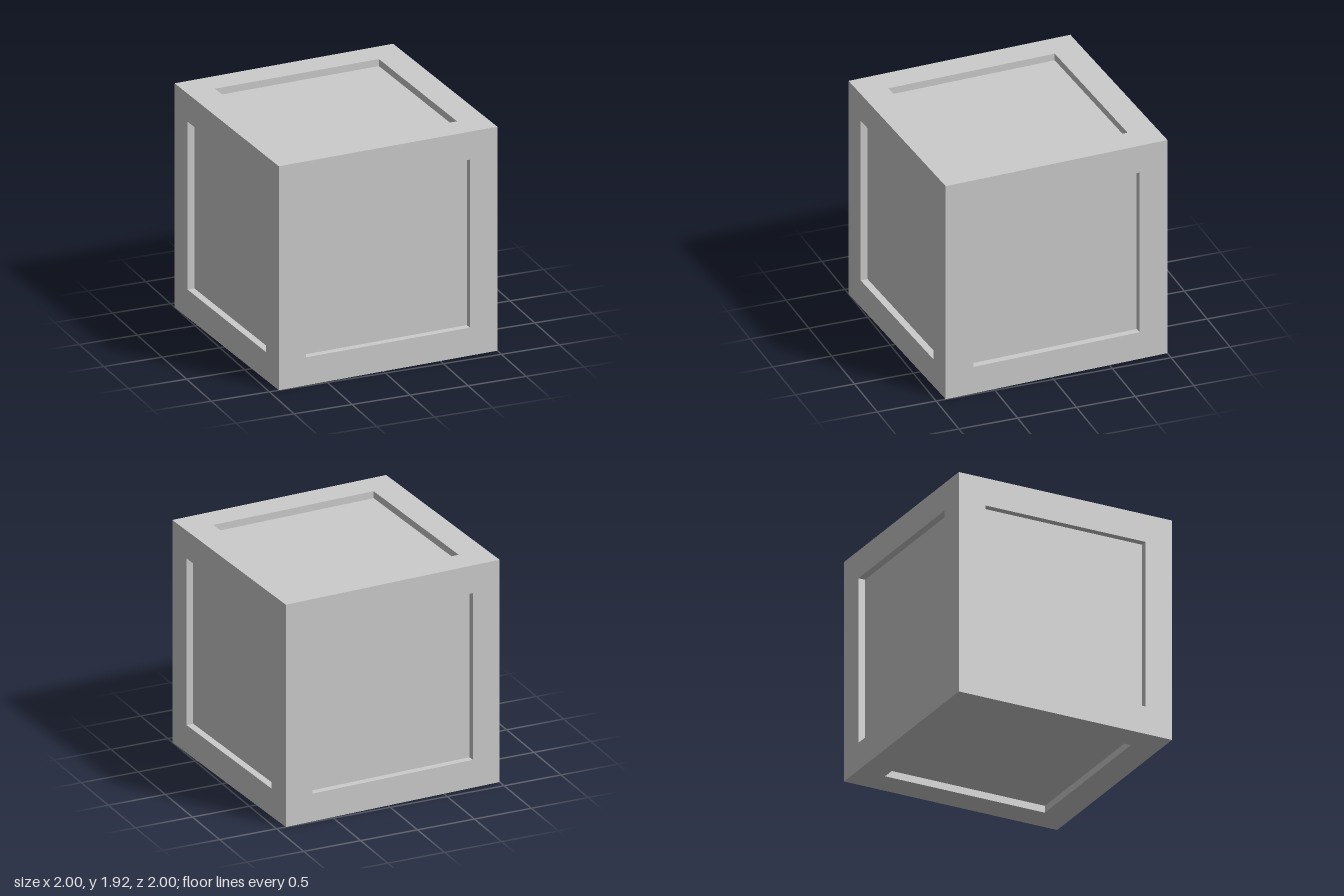
import * as THREE from 'three';
import { mergeGeometries } from 'three/addons/utils/BufferGeometryUtils.js';

const SIZE = 1.92;   // cube edge
const PANEL = 1.44;  // recessed square on every side
const DEPTH = 0.06;  // depth of the recess
const TURN = THREE.MathUtils.degToRad(2.44);

// Square outline centred on the origin
function square(target, size) {
  const h = size / 2;
  target.moveTo(-h, -h).lineTo(h, -h).lineTo(h, h).lineTo(-h, h).closePath();
  return target;
}

// Flat border around the recess, facing +z
function borderGeometry() {
  const shape = square(new THREE.Shape(), SIZE);
  shape.holes.push(square(new THREE.Path(), PANEL));
  return new THREE.ShapeGeometry(shape).translate(0, 0, SIZE / 2);
}

// Recess floor and its four inward-facing walls
function recessGeometry() {
  const parts = [new THREE.PlaneGeometry(PANEL, PANEL).translate(0, 0, SIZE / 2 - DEPTH)];
  for (let i = 0; i < 4; i++) {
    parts.push(new THREE.PlaneGeometry(PANEL, DEPTH)
      .rotateX(-Math.PI / 2)
      .translate(0, -PANEL / 2, SIZE / 2 - DEPTH / 2)
      .rotateZ(i * Math.PI / 2));
  }
  return mergeGeometries(parts);
}

export function createModel() {
  const model = new THREE.Group();
  model.name = 'crate';
  const material = new THREE.MeshStandardMaterial({ color: 0xcccccc, flatShading: true });
  const border = borderGeometry();
  const recess = recessGeometry();

  // The same framed side, turned to face each of the six directions
  const sides = [
    ['front', 0, 0], ['left', 0, Math.PI / 2], ['back', 0, Math.PI],
    ['right', 0, -Math.PI / 2], ['top', -Math.PI / 2, 0], ['bottom', Math.PI / 2, 0],
  ];
  const box = new THREE.Group();
  box.name = 'box';
  for (const [name, rx, ry] of sides) {
    const side = new THREE.Group();
    side.name = `${name}Side`;
    for (const [part, geometry] of [['Border', border], ['Panel', recess]]) {
      const mesh = new THREE.Mesh(geometry, material);
      mesh.name = name + part;
      side.add(mesh);
    }
    side.rotation.set(rx, ry, 0);
    box.add(side);
  }

  // The box stands on the floor, slightly turned
  box.position.y = SIZE / 2;
  box.rotation.y = TURN;
  model.add(box);
  return model;
}
